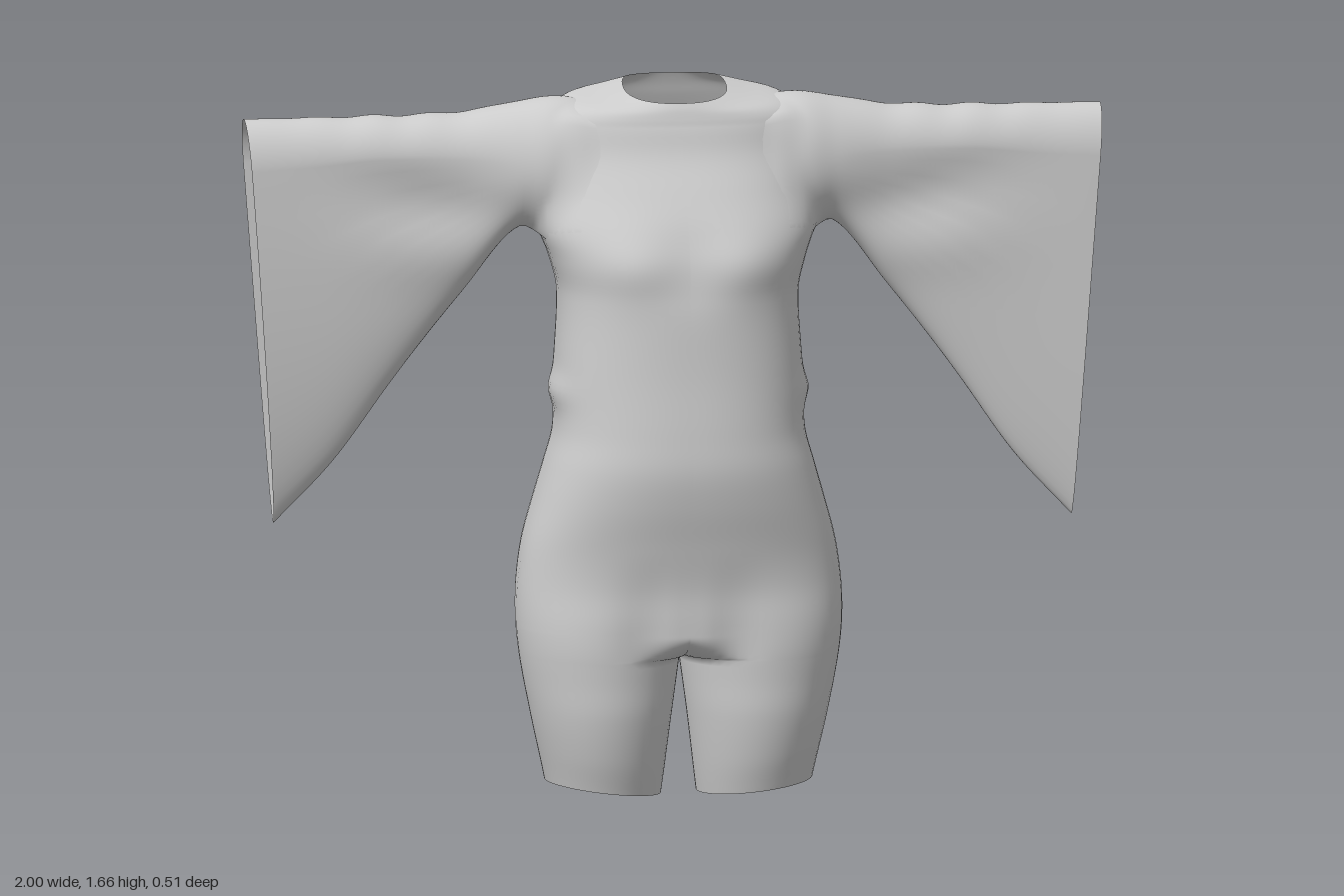
import * as THREE from 'three';
import { mergeGeometries, mergeVertices } from 'three/addons/utils/BufferGeometryUtils.js';

const material = new THREE.MeshStandardMaterial({ color: 0xcccccc, roughness: 0.9, side: THREE.DoubleSide });
const { smoothstep, lerp, clamp } = THREE.MathUtils;

// Smooth interpolation of table rows [key, a, b, ...] at a key value
function sample(rows, key) {
  let i = 0;
  while (i < rows.length - 2 && key > rows[i + 1][0]) i++;
  const p = rows[i], q = rows[i + 1];
  const o = rows[Math.max(i - 1, 0)], r = rows[Math.min(i + 2, rows.length - 1)];
  const h = q[0] - p[0];
  const t = clamp((key - p[0]) / h, 0, 1), t2 = t * t, t3 = t2 * t;
  return p.slice(1).map((a, c) => {
    const k = c + 1;
    const m0 = (q[k] - o[k]) / (q[0] - o[0]) * h, m1 = (r[k] - p[k]) / (r[0] - p[0]) * h;
    return a * (2 * t3 - 3 * t2 + 1) + m0 * (t3 - 2 * t2 + t) + q[k] * (3 * t2 - 2 * t3) + m1 * (t3 - t2);
  });
}

// Skin a list of closed rings, optionally leaving out points (a hole)
function loft(rings, flip = false, isHole = () => false) {
  const n = rings[0].length, index = [];
  const pts = rings.flat();
  const tri = (a, b, c) => {
    if ([a, b, c].some((v) => isHole(pts[v]))) return;
    index.push(a, flip ? c : b, flip ? b : c);
  };
  for (let i = 0; i < rings.length - 1; i++) {
    for (let j = 0; j < n; j++) {
      const a = i * n + j, b = i * n + (j + 1) % n;
      tri(a, a + n, b);
      tri(b, a + n, b + n);
    }
  }
  const geometry = new THREE.BufferGeometry();
  geometry.setAttribute('position', new THREE.Float32BufferAttribute(pts.flat(), 3));
  geometry.setIndex(index);
  return geometry;
}

function addPart(group, name, geometry) {
  geometry.computeVertexNormals();
  const mesh = new THREE.Mesh(geometry, material);
  mesh.name = name;
  group.add(mesh);
}

const steps = (from, to, n) => Array.from({ length: n + 1 }, (_, i) => from + (to - from) * i / n);
const bump = (v, centre, width) => Math.exp(-(((v - centre) / width) ** 2));
const dome = (u, n) => Math.pow(Math.max(0, 1 - Math.pow(Math.abs(u), n)), 1 / n);

// Legs and torso: height, half width, front z, back z, z of the widest point
const BODY = [
  [0.02, 0.312, 0.158, -0.142, 0.01],
  [0.1, 0.328, 0.182, -0.146, 0.015],
  [0.2, 0.348, 0.2, -0.15, 0.02],
  [0.28, 0.364, 0.203, -0.156, 0.02],
  [0.35, 0.375, 0.206, -0.175, 0.02],
  [0.42, 0.38, 0.208, -0.22, 0.02],
  [0.5, 0.377, 0.21, -0.25, 0.02],
  [0.6, 0.362, 0.228, -0.257, 0.02],
  [0.7, 0.335, 0.25, -0.238, 0.02],
  [0.78, 0.312, 0.26, -0.214, 0.02],
  [0.86, 0.291, 0.255, -0.212, 0.02],
  [1, 0.287, 0.241, -0.226, 0.01],
  [1.18, 0.279, 0.23, -0.235, 0],
  [1.26, 0.298, 0.224, -0.238, -0.01],
  [1.33, 0.322, 0.192, -0.238, -0.03],
  [1.42, 0.312, 0.14, -0.234, -0.05],
  [1.5, 0.305, 0.095, -0.215, -0.055],
  [1.57, 0.298, 0.075, -0.185, -0.055],
  [1.6, 0.282, 0.07, -0.172, -0.055],
  [1.62, 0.242, 0.066, -0.165, -0.05],
  [1.633, 0.175, 0.062, -0.16, -0.05],
  [1.645, 0.12, 0.055, -0.155, -0.05],
];
const CROTCH = 0.33, HALF = 24;

// Depth of the torso surface; sz is 1 for the front and -1 for the back
function torsoZ(x, y, sz) {
  const [hw, front, back, zc] = sample(BODY, y);
  const u = Math.min(1, x / hw);
  // The section splits into two thigh ovals at the crotch
  const t = clamp((y - CROTCH) / 0.06, 0, 1);
  const arch = 1 - Math.sqrt(1 - (1 - t) ** 2);
  const split = lerp(arch, 1 - smoothstep(y, CROTCH, 0.6), smoothstep(u, 0.1, 0.5));
  let depth = (1 - split) * dome(u, sz > 0 ? 2.35 : 2.7) + split * dome(2 * u - 1, 2);
  depth *= sz > 0 ? front - zc : zc - back;
  // Chest in front, seat and spine hollows behind
  const mid = bump(x, 0, 0.08) * t;
  if (sz > 0) depth += bump(y, 1.26, 0.08) * (0.01 * bump(x, 0.14, 0.08) - 0.012 * mid);
  else depth -= mid * (0.014 * bump(y, 0.48, 0.12) + 0.008 * bump(y, 1.1, 0.22));
  return zc + sz * depth;
}

// The neckline dips towards the front
const neckDip = (y, z) => 0.24 * smoothstep(y, 1.54, 1.645) * (Math.max(z, -0.115) + 0.05);

function torsoRing(y) {
  const [hw] = sample(BODY, y);
  const point = (j, sx, sz) => {
    const u = (1 + Math.cos(Math.PI * j / HALF)) / 2;
    const z = torsoZ(u * hw, y, sz);
    // Small crumple at the waist sides
    const x = u * hw + 0.014 * u ** 16 * bump(y, 0.95, 0.035);
    return [sx * x, y - neckDip(y, z), z];
  };
  const ring = [];
  for (let j = 0; j < HALF; j++) ring.push(point(j, 1, 1));
  for (let j = HALF; j > 0; j--) ring.push(point(j, -1, 1));
  for (let j = 0; j < HALF; j++) ring.push(point(j, -1, -1));
  for (let j = HALF; j > 0; j--) ring.push(point(j, 1, -1));
  return ring;
}

function legRing(y, side) {
  const [xout, front, back, zc] = sample(BODY, y);
  const xin = 0.045 * (1 - y / CROTCH);
  const hem = 0.016 * (1 - smoothstep(y, 0.02, 0.2));
  return Array.from({ length: 2 * HALF }, (_, j) => {
    const a = Math.PI * j / HALF, c = Math.cos(a), s = Math.sin(a);
    const z = zc + s * (s > 0 ? front - zc : zc - back);
    return [side * (xin + (xout - xin) * (1 + c) / 2), y + hem * c, z];
  });
}

// Sleeve: x, top y, middle y, bottom y, upper z, lower z, half thickness
const ROOT = 0.19;
const SLEEVE = [
  [0.19, 1.612, 1.46, 1.31, -0.055, -0.05, 0.1],
  [0.25, 1.625, 1.462, 1.303, -0.057, -0.048, 0.11],
  [0.3, 1.625, 1.465, 1.3, -0.06, -0.045, 0.117],
  [0.37, 1.613, 1.475, 1.325, -0.07, -0.045, 0.107],
  [0.5, 1.59, 1.485, 1.175, -0.08, -0.04, 0.09],
  [0.7, 1.583, 1.485, 0.95, -0.086, -0.033, 0.083],
  [0.85, 1.581, 1.47, 0.775, -0.089, -0.03, 0.079],
  [1, 1.58, 1.46, 0.625, -0.09, -0.03, 0.077],
];

function sleeveRing(x, side, N = 64) {
  const [top, mid, bottom, zu, zl, w] = sample(SLEEVE, x);
  const slant = 0.079 * smoothstep(x, 0.35, 0.9);
  // The right sleeve hangs further back than the left one
  const reach = side < 0 ? Math.max(0, (x - 0.37) / 0.63) : 0;
  return Array.from({ length: N }, (_, j) => {
    const a = (j + 0.5) / N * Math.PI * 2, c = Math.cos(a), s = Math.sin(a);
    const y = mid + s * (s > 0 ? top - mid : mid - bottom);
    const drop = (top - y) / (top - bottom);
    // Soft folds hanging below the arm
    const foldLine = 1.36 + 0.12 * (x - 0.4);
    const fold = bump(x, 0.6, 0.2) * (0.22 * bump(y, foldLine, 0.06) - 0.1 * bump(y, foldLine - 0.13, 0.06));
    const ripple = 0.003 * Math.sin(x * 47) * bump(x, 0.65, 0.2) * Math.max(0, s);
    let z = lerp(zu - 0.012 * reach, zl - 0.12 * reach, drop * drop) + (w - 0.005 * reach) * c * (1 - fold);
    // Near the shoulder the cloth eases onto the torso
    const ease = (1 - smoothstep(x, 0.32, 0.4)) * (1 - smoothstep(s, 0.75, 0.97));
    if (ease > 0) {
      const sz = Math.sign(c), k = 0.06;
      const own = sz * z, body = sz * torsoZ(x, y + neckDip(y, z), sz);
      const near = Math.max(k - Math.abs(own - body), 0) / k;
      const sink = 0.004 * (1 - smoothstep(x, ROOT, 0.25))
        + 0.012 * smoothstep(-s, 0.8, 1) * (1 - smoothstep(x, 0.25, 0.32));
      z = lerp(z, sz * (Math.max(own, body) + near * near * k / 4 - sink), ease);
    }
    return [side * (x - slant * (top - y)), y + ripple, z];
  });
}

export function createModel() {
  const group = new THREE.Group();
  group.name = 'garment';

  // Torso with armholes, joined to the two legs as one smooth skin
  const armhole = ([x, y, z]) =>
    Math.abs(x) > 0.24 && ((y - 1.46) / 0.12) ** 2 + ((z + 0.065) / 0.1) ** 2 < 1;
  const heights = [...steps(CROTCH, 0.4, 16), ...steps(0.415, 1.56, 76), ...steps(1.57, 1.645, 18)];
  const skins = [loft(heights.map(torsoRing), false, armhole)];
  for (const side of [1, -1]) {
    skins.push(loft(steps(0.02, CROTCH, 22).map((y) => legRing(y, side)), side < 0));
  }
  addPart(group, 'body', mergeVertices(mergeGeometries(skins), 1e-4));

  // Wide hanging sleeves
  for (const [name, side] of [['leftSleeve', 1], ['rightSleeve', -1]]) {
    addPart(group, name, loft(steps(ROOT, 1, 60).map((x) => sleeveRing(x, side)), side < 0));
  }
  return group;
}
